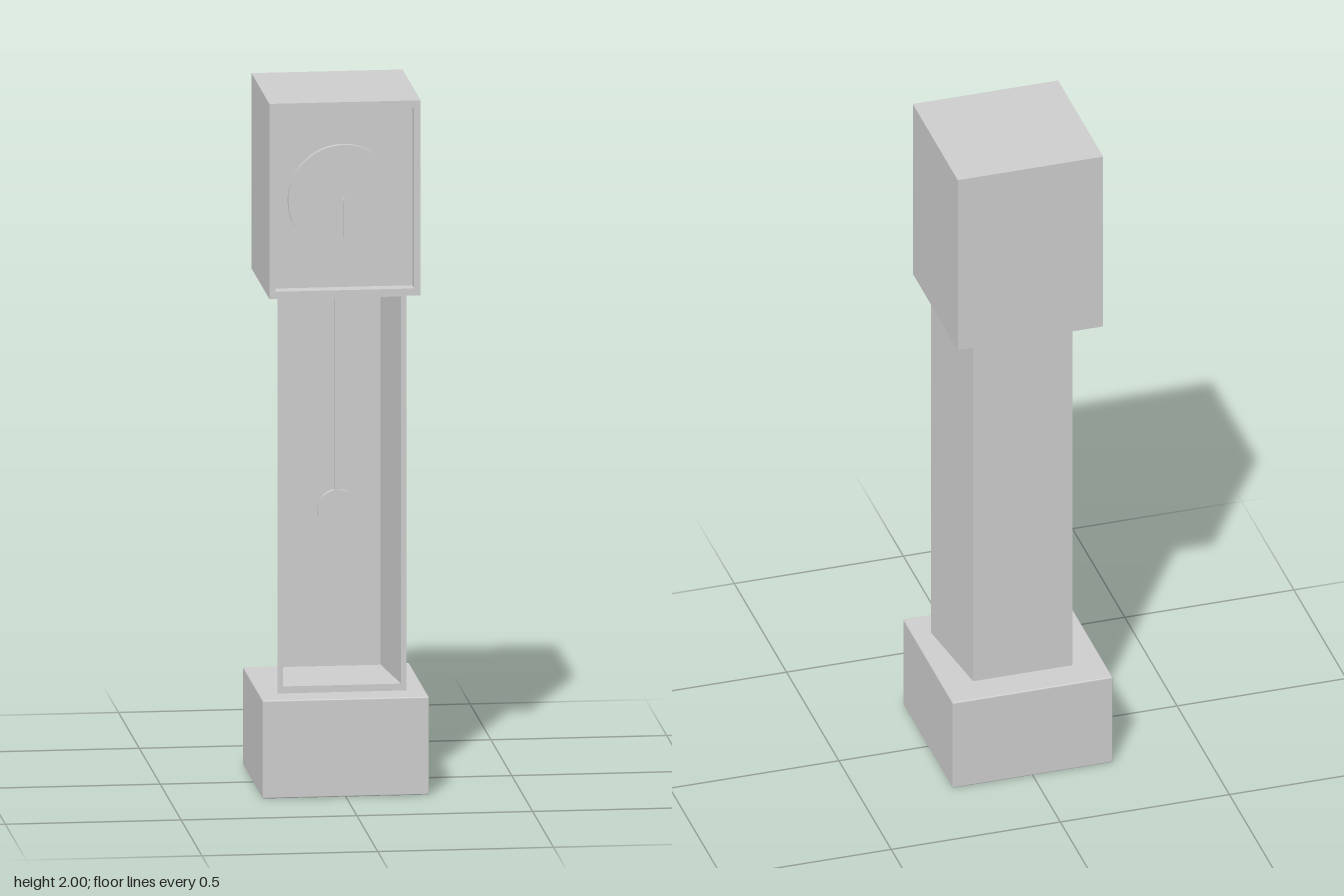
import * as THREE from 'three';
import { RoundedBoxGeometry } from 'three/addons/geometries/RoundedBoxGeometry.js';

export function createModel() {
  const model = new THREE.Group();
  const grey = new THREE.MeshStandardMaterial({ color: 0xcccccc });
  grey.name = 'plain grey';

  const add = (name, geometry, x = 0, y = 0, z = 0, parent = model) => {
    const mesh = new THREE.Mesh(geometry, grey);
    mesh.name = name;
    mesh.position.set(x, y, z);
    parent.add(mesh);
    return mesh;
  };
  const polygon = (points) => new THREE.Shape(points.map(([x, y]) => new THREE.Vector2(x, y)));
  const extrude = (shape, depth) => new THREE.ExtrudeGeometry(shape, { depth, bevelEnabled: false });
  // Plan outline given as (x, -z), raised to a vertical slab
  const raise = (points, height) => extrude(polygon(points), height).rotateX(-Math.PI / 2);
  const disc = (radius, depth, sides = 48) =>
    new THREE.CylinderGeometry(radius, radius, depth, sides).rotateX(Math.PI / 2);

  // Plinth
  add('base', new RoundedBoxGeometry(0.474, 0.283, 0.474, 1, 0.004), 0, 0.1415, 0);

  // Trunk: narrower at the back, open at the front
  const trunk = new THREE.Group();
  trunk.name = 'trunk';
  model.add(trunk);
  add('trunkWalls', raise([
    [-0.183, -0.142], [-0.168, -0.142], [-0.142, 0.125], [0.142, 0.125],
    [0.168, -0.142], [0.183, -0.142], [0.147, 0.142], [-0.147, 0.142],
  ], 1.154), 0, 0.283, 0, trunk);
  const plate = [[-0.168, -0.142], [0.168, -0.142], [0.142, 0.125], [-0.142, 0.125]];
  add('trunkFloor', raise(plate, 0.02), 0, 0.283, 0, trunk);
  add('trunkCeiling', raise(plate, 0.017), 0, 1.42, 0, trunk);

  // Pendulum
  const pendulum = new THREE.Group();
  pendulum.name = 'pendulum';
  model.add(pendulum);
  add('pendulumRod', new THREE.BoxGeometry(0.02, 0.58, 0.014), 0, 1.13, 0.04, pendulum);
  add('pendulumBob', disc(0.057, 0.018), 0, 0.79, 0.04, pendulum);

  // Hood: solid block with a raised frame around the face
  const hood = new THREE.Group();
  hood.name = 'hood';
  hood.position.y = 1.7185;
  model.add(hood);
  add('hoodBlock', new THREE.BoxGeometry(0.43, 0.563, 0.385), 0, 0, -0.0225, hood);
  const rect = (w, h) => [[-w, -h], [w, -h], [w, h], [-w, h]];
  const frame = polygon(rect(0.215, 0.2815));
  frame.holes.push(polygon(rect(0.197, 0.261)));
  add('faceFrame', extrude(frame, 0.045), 0, 0, 0.17, hood);

  // Dial and hand
  add('dial', disc(0.158, 0.018, 64), 0, -0.006, 0.179, hood);
  add('handHub', disc(0.005, 0.01, 16), 0, -0.006, 0.192, hood);
  add('hand', new THREE.BoxGeometry(0.004, 0.11, 0.004), 0, -0.061, 0.191, hood);

  return model;
}
